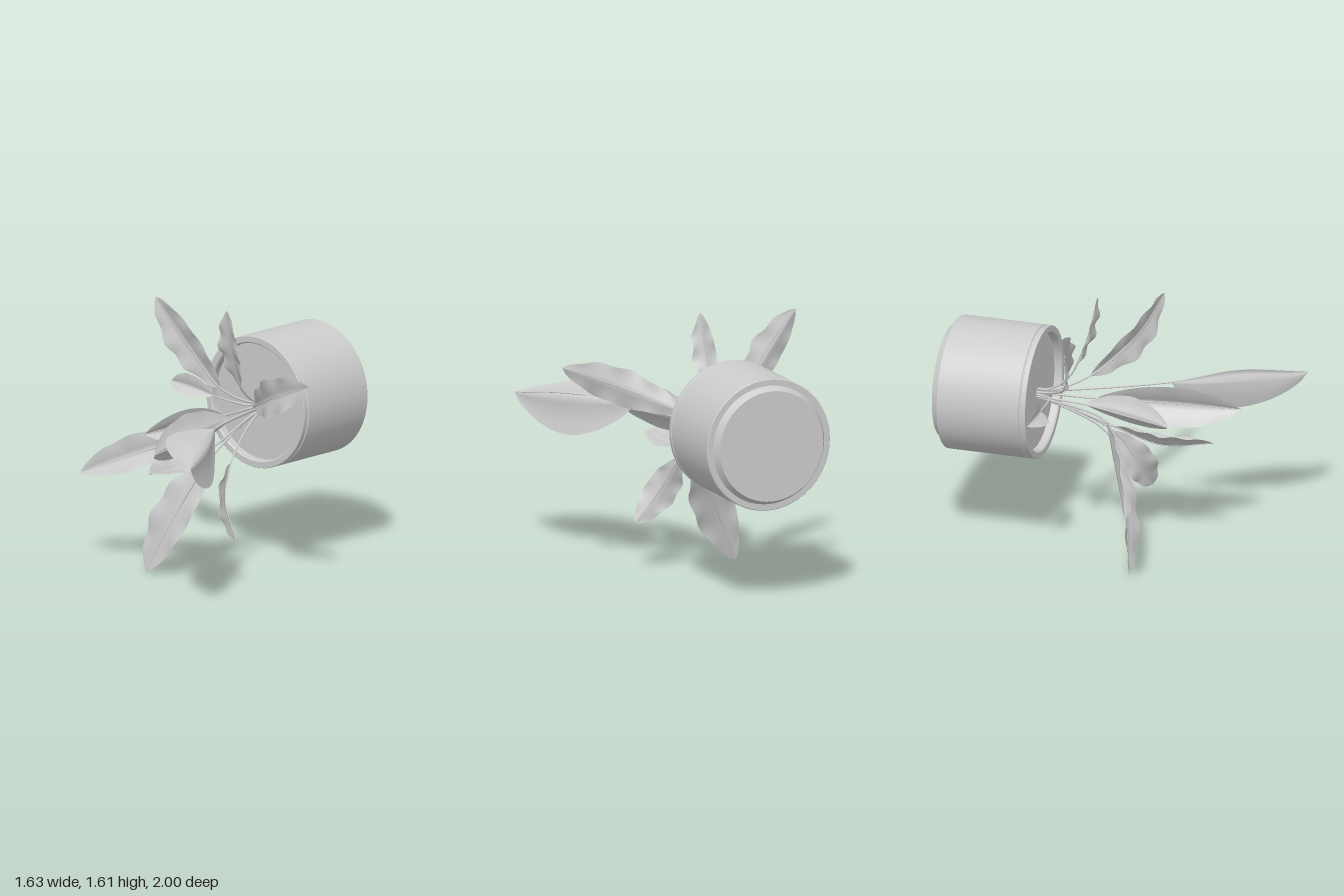
import * as THREE from 'three';
import { toCreasedNormals } from 'three/addons/utils/BufferGeometryUtils.js';

const V = (p) => new THREE.Vector3(...p);
const CENTRE = [-0.07, 0.98];
const material = new THREE.MeshStandardMaterial({ color: 0xcccccc });
const leafMaterial = new THREE.MeshStandardMaterial({ color: 0xcccccc, side: THREE.DoubleSide });

// Leaf: base and tip of the blade, half width, bow of the midrib towards the
// upper side, then optionally where that side faces and its fold in degrees
const FRONT = [0, 0.1, 1];
const leaf = (name, base, tip, half, bow, face = FRONT, fold = 18) =>
  ({ name, base: V(base), tip: V(tip), half, bow, face: V(face), fold: THREE.MathUtils.degToRad(fold) });

const outerLeaves = [
  leaf('upperLeftLeaf', [-0.2, 1.07, -0.24], [-0.62, 1.585, -0.12], 0.115, 0.015),
  leaf('topLeaf', [-0.04, 1.11, -0.24], [-0.01, 1.61, -0.09], 0.078, 0.02),
  leaf('upperRightLeaf', [0.13, 1.03, -0.18], [0.815, 1.315, 0.075], 0.115, 0.06, [-0.3, 0, 1]),
  leaf('bottomLeaf', [-0.04, 0.73, 0], [-0.38, 0, 0.22], 0.14, 0.03),
  leaf('lowerLeftLeaf', [-0.12, 0.86, 0], [-0.815, 0.555, 0.325], 0.12, 0, [0.4, 0.4, 0.8], 32),
];
const foldedLeaves = [
  leaf('smallLeftLeaf', [-0.35, 0.98, -0.34], [-0.68, 1.02, -0.325], 0.085, 0.01, [0.1, 0.5, 0.8], 48),
  leaf('largeRightLeaf', [0.25, 1, 0.29], [0.715, 0.965, 1], 0.25, -0.045, [-0.63, -0.72, 0.42], 46),
  leaf('lowerRightLeaf', [0.09, 0.71, -0.02], [0.3, 0.3, 0.16], 0.105, 0.05, [-0.75, 0.1, 0.65], 25),
];
const innerLeaves = [
  leaf('innerLeftLeaf', [-0.09, 0.94, -0.14], [-0.21, 0.91, 0.41], 0.12, 0, [1, 0.2, 0], 42),
  leaf('innerRightLeaf', [0.01, 0.945, -0.1], [0.18, 0.91, 0.745], 0.15, -0.015, [-1, 0.1, 0], 38),
  leaf('innerLowerLeaf', [-0.02, 0.79, 0.02], [0.02, 0.74, 0.62], 0.115, -0.06, [0.35, 0.9, 0.1], 32),
];

// Midrib points: base, bowed middle, tip
function midrib({ base, tip, bow, face }) {
  const along = tip.clone().sub(base).normalize();
  const up = face.clone().projectOnPlane(along).normalize();
  return [base, base.clone().lerp(tip, 0.5).addScaledVector(up, bow), tip];
}

// Folded blade lofted along its midrib; sharply folded leaves ripple less
function bladeGeometry(spec, seed) {
  const { half, face, fold } = spec;
  const curve = new THREE.CatmullRomCurve3(midrib(spec));
  const wave = 0.013 * Math.cos(2 * fold);
  const rows = 26, cols = 8;
  const geo = new THREE.PlaneGeometry(1, 1, cols, rows);
  const pos = geo.attributes.position;
  for (let j = 0; j <= rows; j++) {
    const t = j / rows;
    const tangent = curve.getTangent(t);
    const side = tangent.clone().cross(face).normalize();
    const up = side.clone().cross(tangent).normalize();
    const outline = Math.pow(Math.max(0, Math.sin(Math.PI * Math.pow(t, 1.05))), 0.68);
    for (let i = 0; i <= cols; i++) {
      const u = (i / cols) * 2 - 1, a = Math.abs(u);
      const phase = seed * 1.7 + (u > 0 ? 1.3 : 0);
      const ripple = wave * Math.sin(t * 23 + phase) * a * a * outline;
      const w = half * outline * a + ripple * 0.5;
      const bend = fold * (1.15 - 0.3 * a);
      const p = curve.getPoint(t)
        .addScaledVector(side, Math.sign(u) * w * Math.cos(bend))
        .addScaledVector(up, w * Math.sin(bend) + ripple);
      pos.setXYZ(j * (cols + 1) + i, p.x, p.y, p.z);
    }
  }
  geo.computeVertexNormals();
  return geo;
}

// Stalk leaving the pot and running on as the midrib
function stalkGeometry(spec) {
  const { base } = spec;
  const out = new THREE.Vector3(base.x + 0.05, base.y - 0.96, 0);
  const root = new THREE.Vector3(-0.05, 0.96, -0.47).addScaledVector(out.clone().normalize(), 0.025);
  const neck = root.clone().addScaledVector(out, 0.08);
  neck.z = -0.37;
  const path = new THREE.CatmullRomCurve3([root, neck, ...midrib(spec)], false, 'centripetal');
  const rings = 48, sides = 6;
  const geo = new THREE.TubeGeometry(path, rings, 0.0085, sides);
  // thin the tube towards the tip
  const pos = geo.attributes.position, p = new THREE.Vector3();
  for (let i = 0; i < pos.count; i++) {
    const t = Math.floor(i / (sides + 1)) / rings;
    const c = path.getPointAt(t);
    p.fromBufferAttribute(pos, i).sub(c).multiplyScalar(1 - 0.75 * t).add(c);
    pos.setXYZ(i, p.x, p.y, p.z);
  }
  return geo;
}

export function createModel() {
  const model = new THREE.Group();
  model.name = 'pottedPlant';

  // Pot lying on its side: base, foot, wall, groove, rim and inner wall
  const profile = [
    [0, -1], [0.337, -1], [0.362, -0.955], [0.398, -0.955], [0.402, -0.95],
    [0.402, -0.443], [0.395, -0.439], [0.395, -0.434], [0.402, -0.43],
    [0.402, -0.403], [0.399, -0.4], [0.364, -0.4], [0.357, -0.407], [0.357, -0.46],
  ].map((p) => new THREE.Vector2(...p));
  const potGeo = toCreasedNormals(new THREE.LatheGeometry(profile, 64), 0.5);
  const pot = new THREE.Mesh(potGeo.rotateX(Math.PI / 2), material);
  pot.name = 'pot';
  pot.position.set(...CENTRE, 0);
  model.add(pot);

  // Soil disc
  const soil = new THREE.Mesh(new THREE.CircleGeometry(0.358, 64), material);
  soil.name = 'soil';
  soil.position.set(...CENTRE, -0.45);
  model.add(soil);

  // Leaves, each with its stalk
  [...outerLeaves, ...foldedLeaves, ...innerLeaves].forEach((spec, i) => {
    const group = new THREE.Group();
    group.name = spec.name;
    const blade = new THREE.Mesh(bladeGeometry(spec, i), leafMaterial);
    blade.name = 'blade';
    const stalk = new THREE.Mesh(stalkGeometry(spec), material);
    stalk.name = 'stalk';
    group.add(blade, stalk);
    model.add(group);
  });
  return model;
}
